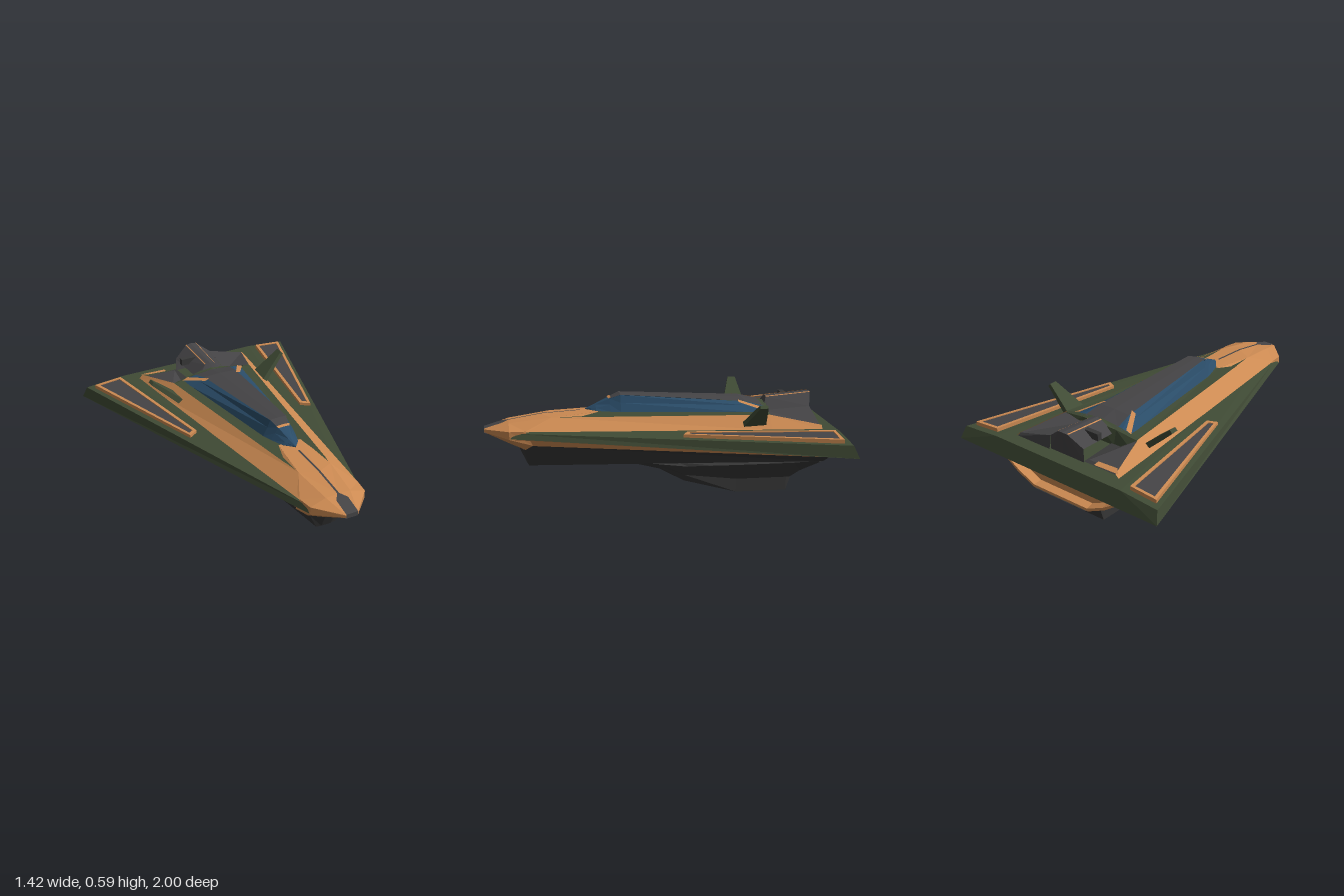
import * as THREE from 'three';

const mat = (name, color) => {
  const m = new THREE.MeshStandardMaterial({ color, side: THREE.DoubleSide });
  m.name = name;
  return m;
};

export function createModel() {
  const green = mat('hull green', 0x404b35);
  const orange = mat('panel orange', 0xcc8a52);
  const grey = mat('dark grey', 0x454446);
  const under = mat('belly grey', 0x383838);
  const blue = mat('canopy blue', 0x2a4c68);
  const craft = new THREE.Group();
  craft.name = 'wedgeCraft';

  // Flat-faced skin over rows of [x, y, z] points, mirrored across x when asked
  function skin(name, material, rows, mirror = true) {
    const pos = [];
    const tri = (a, b, c) => {
      pos.push(...a, ...b, ...c);
      if (mirror) for (const p of [a, c, b]) pos.push(-p[0], p[1], p[2]);
    };
    for (let i = 0; i < rows.length - 1; i++) {
      for (let j = 0; j < rows[i].length - 1; j++) {
        const a = rows[i][j], b = rows[i][j + 1], c = rows[i + 1][j + 1], d = rows[i + 1][j];
        tri(a, b, c);
        tri(a, c, d);
      }
    }
    const g = new THREE.BufferGeometry();
    g.setAttribute('position', new THREE.Float32BufferAttribute(pos, 3));
    g.computeVertexNormals();
    const mesh = new THREE.Mesh(g, material);
    mesh.name = name;
    craft.add(mesh);
  }
  // Row of [x, y] points at one z
  const at = (z, ...pts) => pts.map(([x, y]) => [x, y, z]);
  const loop = (pts) => [...pts, pts[0]];

  // Delta wing
  skin('wingTop', green, [
    [[0, 0.415, 0.8], [0.1, 0.415, 0.8], [0.165, 0.405, 0.83]],
    at(-0.97, [0, 0.42], [0.45, 0.42], [0.69, 0.4]),
  ]);
  skin('wingEdge', green, [
    [[0.165, 0.405, 0.83], [0.172, 0.375, 0.855]],
    [[0.69, 0.4, -0.97], [0.71, 0.33, -1]],
  ]);
  skin('wingRear', green, [
    at(-0.97, [0, 0.42], [0.45, 0.42], [0.69, 0.4]),
    at(-1, [0, 0.33], [0.45, 0.33], [0.71, 0.33]),
  ]);
  skin('wingUnderside', under, [
    [[0.172, 0.375, 0.855], [0, 0.37, 0.82]],
    at(-1, [0.71, 0.33], [0, 0.33]),
  ]);

  // Nose
  skin('noseTop', orange, [
    at(1, [0, 0.405], [0.035, 0.405], [0.036, 0.4]),
    at(0.86, [0, 0.447], [0.075, 0.445], [0.168, 0.415]),
    [[0, 0.478, 0.67], [0.1, 0.476, 0.62], [0.18, 0.418, 0.77]],
    at(0.35, [0, 0.497], [0.07, 0.495], [0.07, 0.494]),
  ]);
  skin('noseUnderside', orange, [
    at(1, [0.036, 0.4], [0.036, 0.39], [0.03, 0.388], [0, 0.388]),
    at(0.86, [0.168, 0.415], [0.168, 0.37], [0.1, 0.335], [0, 0.335]),
    [[0.18, 0.418, 0.77], [0.18, 0.335, 0.73], [0.13, 0.3, 0.77], [0, 0.3, 0.8]],
  ]);
  skin('noseTip', grey, [
    at(0.93, [0.036, 0.362], [0, 0.362]),
    at(1.0, [0.036, 0.385], [0, 0.385]),
    at(1.0, [0.036, 0.41], [0, 0.41]),
    at(0.9, [0.036, 0.44], [0, 0.44]),
    at(0.86, [0.006, 0.451], [0, 0.451]),
    at(0.67, [0.006, 0.482], [0, 0.482]),
    at(0.45, [0.006, 0.495], [0, 0.495]),
  ].map((r) => r.reverse()));

  // Raised deck with sloping flanks
  skin('deck', green, [
    at(0.6, [0, 0.472], [0.1, 0.476]),
    at(-0.61, [0, 0.5], [0.26, 0.488]),
  ]);
  skin('deckFlank', orange, [
    [[0.1, 0.476, 0.62], [0.18, 0.415, 0.78]],
    at(-0.61, [0.26, 0.488], [0.34, 0.418]),
    at(-0.89, [0.348, 0.44], [0.37, 0.418]),
  ]);

  // Canopy and roof
  skin('canopy', blue, [
    at(0.42, [0, 0.502], [0, 0.5], [0, 0.498]),
    at(0.36, [0.015, 0.527], [0.035, 0.51], [0.05, 0.495]),
    at(0.28, [0.034, 0.562], [0.052, 0.53], [0.078, 0.494]),
    at(0.22, [0.05, 0.584], [0.068, 0.542], [0.095, 0.494]),
    at(-0.5, [0.103, 0.537], [0.135, 0.52], [0.185, 0.49]),
    at(-0.61, [0.115, 0.51], [0.15, 0.505], [0.2, 0.488]),
  ]);
  skin('canopyFront', blue, [
    at(0.42, [0, 0.502], [0, 0.502]),
    at(0.36, [0, 0.53], [0.015, 0.527]),
    at(0.28, [0, 0.563], [0.034, 0.562]),
  ]);
  skin('roof', grey, [
    at(0.28, [0, 0.564], [0.034, 0.563]),
    at(0.22, [0, 0.588], [0.052, 0.586]),
    at(-0.5, [0, 0.543], [0.105, 0.539]),
    at(-0.61, [0, 0.518], [0.118, 0.511]),
  ]);
  skin('roofFrontTrim', orange, [
    at(0.29, [0, 0.565], [0.036, 0.563]),
    at(0.275, [0, 0.572], [0.04, 0.57]),
  ]);
  skin('canopyRearTrim', orange, [
    at(-0.46, [0.09, 0.546], [0.118, 0.536]),
    at(-0.6, [0.17, 0.51], [0.205, 0.497]),
  ]);
  skin('rearBulkhead', green, [
    at(-0.6, [0, 0.525], [0.12, 0.513], [0.26, 0.488]),
    [[0, 0.522, -0.645], [0.12, 0.505, -0.625], [0.26, 0.483, -0.615]],
    at(-0.645, [0, 0.42], [0.12, 0.42], [0.26, 0.42]),
  ]);

  // Engine ridge behind the cabin
  const ridge = [
    at(-0.64, [0, 0.552], [0.03, 0.545], [0.1, 0.48]),
    [[0, 0.57, -0.91], [0.035, 0.565, -0.905], [0.12, 0.5, -0.88]],
  ];
  skin('engineRidge', grey, ridge);
  skin('ridgeFront', grey, [ridge[0], at(-0.61, [0, 0.49], [0.03, 0.49], [0.1, 0.47])]);
  skin('ridgeRear', grey, [ridge[1], at(-0.88, [0, 0.42], [0.035, 0.42], [0.12, 0.42])]);
  skin('ridgeStripe', orange, [
    at(-0.64, [0.027, 0.549], [0.033, 0.545]),
    at(-0.905, [0.031, 0.57], [0.037, 0.567]),
  ]);
  skin('engineCover', grey, [
    at(-0.62, [0.1, 0.48], [0.26, 0.485]),
    at(-0.88, [0.12, 0.5], [0.35, 0.437]),
  ], false);
  skin('engineCoverRear', grey, [
    at(-0.88, [0.12, 0.5], [0.35, 0.437]),
    at(-0.89, [0.12, 0.42], [0.36, 0.42]),
  ], false);
  // Open bay on the other side
  skin('bayFloor', under, [
    at(-0.62, [-0.3, 0.427], [-0.1, 0.427]),
    at(-0.88, [-0.35, 0.427], [-0.12, 0.427]),
  ], false);
  skin('baySlope', grey, [
    at(-0.62, [-0.26, 0.485], [-0.18, 0.435]),
    at(-0.86, [-0.34, 0.44], [-0.14, 0.435]),
  ], false);
  skin('bayRearTrim', orange, [
    at(-0.855, [-0.33, 0.452], [-0.2, 0.445]),
    at(-0.89, [-0.365, 0.445], [-0.2, 0.44]),
  ], false);
  const duct = new THREE.Mesh(new THREE.BoxGeometry(0.11, 0.04, 0.03), under);
  duct.name = 'bayDuct';
  duct.position.set(-0.08, 0.53, -0.77);
  craft.add(duct);

  // Canted fins
  const finRing = (x, y, z0, z1, t) => loop([
    [x + t, y - t, z0], [x + t, y - t, z1], [x - t, y + t, z1], [x - t, y + t, z0],
  ]);
  const tipPoint = finRing(0.44, 0.573, -0.535, -0.535, 0);
  skin('cantedFin', green, [
    finRing(0.285, 0.44, -0.45, -0.58, 0.012),
    finRing(0.44, 0.573, -0.51, -0.555, 0.008),
    tipPoint,
  ]);

  // Framed wing panels
  const outer = [[0.48, 0.439, -0.93], [0.65, 0.425, -0.93], [0.4, 0.425, -0.09], [0.345, 0.428, -0.12]];
  const inner = [[0.496, 0.438, -0.912], [0.626, 0.427, -0.912], [0.392, 0.426, -0.118], [0.366, 0.428, -0.132]];
  const drop = (pts, d) => pts.map(([x, y, z]) => [x, y - d, z]);
  skin('wingPanelFrame', orange, [
    loop(drop(outer, 0.03)), loop(outer), loop(inner), loop(drop(inner, 0.006)),
  ]);
  const [p, q, r, s] = drop(inner, 0.005);
  skin('wingPanel', grey, [[p, q], [s, r]]);

  // Lower hull
  skin('lowerBand', orange, [
    [[0.172, 0.37, 0.83], [0.165, 0.33, 0.73]],
    at(-0.95, [0.45, 0.33], [0.32, 0.24]),
  ]);
  skin('belly', under, [
    [[0.165, 0.33, 0.73], [0.06, 0.19, 0.75], [0, 0.19, 0.75]],
    at(-0.95, [0.32, 0.24], [0.2, 0.185], [0, 0.185]),
  ]);
  skin('bellyFront', under, [
    [[0.165, 0.33, 0.73], [0.12, 0.3, 0.78], [0.03, 0.295, 0.805], [0, 0.295, 0.805]],
    [[0.06, 0.19, 0.75], [0.06, 0.19, 0.75], [0.03, 0.19, 0.755], [0, 0.19, 0.755]],
  ]);
  // Recessed stern
  skin('stern', orange, [
    at(-0.95, [0, 0.33], [0.45, 0.33], [0.32, 0.24], [0.2, 0.185], [0, 0.185]),
    at(-0.95, [0, 0.318], [0.415, 0.318], [0.31, 0.252], [0.195, 0.2], [0, 0.2]),
    at(-0.9, [0, 0.31], [0.4, 0.31], [0.3, 0.257], [0.19, 0.207], [0, 0.207]),
    at(-0.9, [0, 0.26], [0, 0.26], [0, 0.26], [0, 0.26], [0, 0.26]),
  ]);

  // Ventral keel
  skin('keel', under, [
    at(0.2, [0.05, 0.19], [0.04, 0.188], [0.03, 0.187], [0, 0.187]),
    at(0, [0.15, 0.19], [0.11, 0.165], [0.09, 0.15], [0, 0.15]),
    at(-0.14, [0.2, 0.185], [0.145, 0.12], [0.12, 0.08], [0, 0.08]),
    at(-0.45, [0.21, 0.185], [0.13, 0.08], [0.125, 0], [0, 0]),
    at(-0.75, [0.21, 0.185], [0.13, 0.08], [0.125, 0], [0, 0]),
    at(-0.775, [0.21, 0.185], [0.13, 0.085], [0.125, 0.08], [0, 0.08]),
    at(-0.83, [0.2, 0.185], [0.14, 0.12], [0.13, 0.115], [0, 0.115]),
    at(-0.95, [0.2, 0.185], [0.19, 0.183], [0.18, 0.18], [0, 0.18]),
  ]);

  return craft;
}
